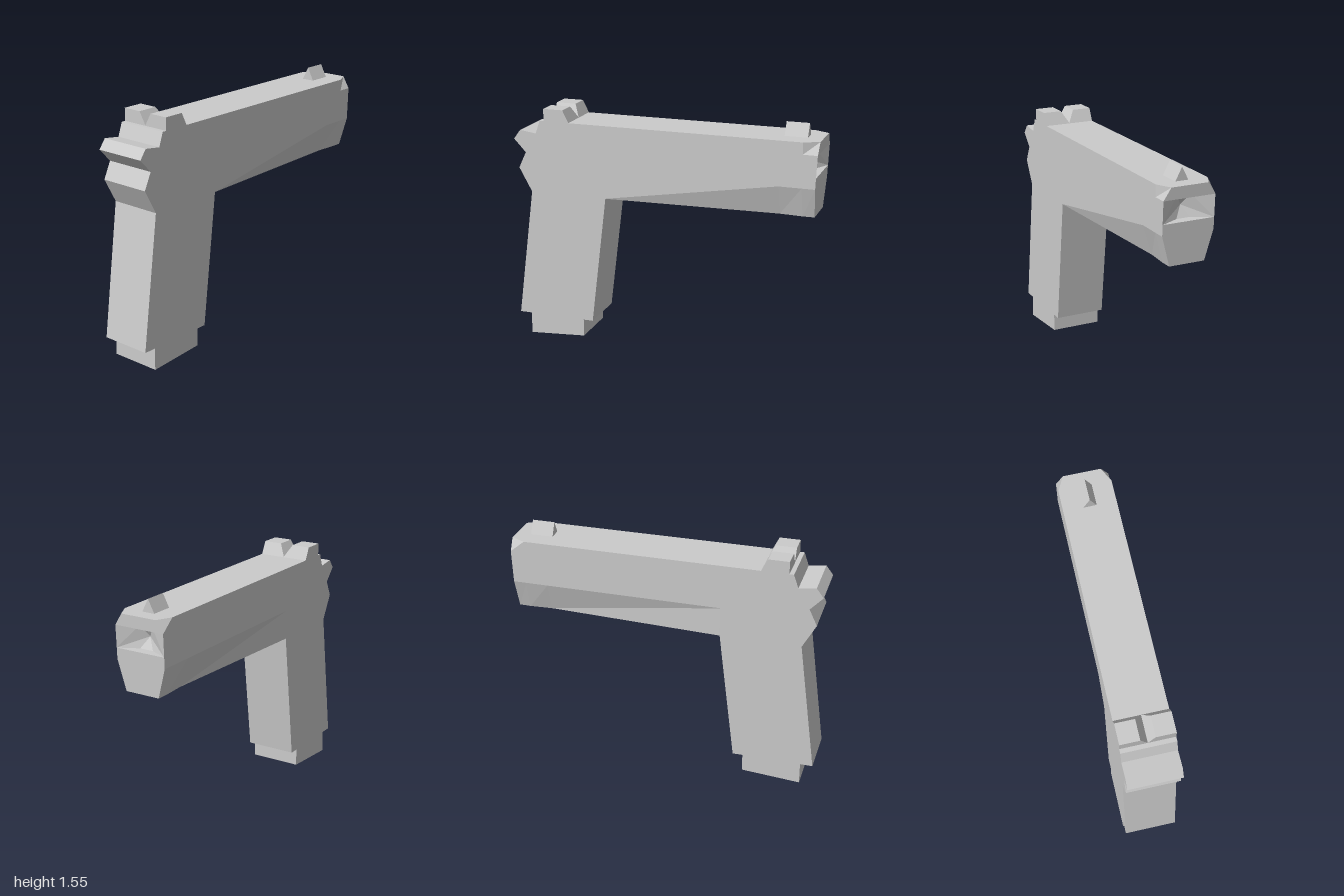
import * as THREE from 'three';

const W = 0.168; // half thickness
const TOP = 1.475;

export function createModel() {
  const group = new THREE.Group();
  const material = new THREE.MeshStandardMaterial({ color: 0xcccccc, flatShading: true });

  const add = (name, geometry) => {
    const mesh = new THREE.Mesh(geometry, material);
    mesh.name = name;
    group.add(mesh);
    return mesh;
  };
  const shapeOf = (pts) => new THREE.Shape(pts.map(([x, y]) => new THREE.Vector2(x, y)));
  // Extrudes a (z, y) section along x between two stations
  const extrudeX = (pts, x0, x1) =>
    new THREE.ExtrudeGeometry(shapeOf(pts), { depth: x1 - x0, bevelEnabled: false })
      .rotateY(Math.PI / 2)
      .translate(x0, 0, 0);

  // Grip and rear frame: one side profile, full thickness
  const frame = shapeOf([
    [-0.37, 1.0], [-0.37, TOP], [-0.815, TOP], [-0.845, 1.39], [-0.955, 1.405],
    [-1, 1.345], [-0.92, 1.26], [-0.97, 1.155], [-0.885, 1.0], [-1, 0.145],
    [-0.92, 0.145], [-0.92, 0.003], [-0.54, 0.03], [-0.54, 0.145], [-0.475, 0.145],
  ]);
  add('gripAndFrame', new THREE.ExtrudeGeometry(frame, { depth: 2 * W, bevelEnabled: false }).translate(0, 0, -W));

  // Long upper body: lofted sections with tapering lower flanks
  add('upperBody', upperBodyGeometry());

  // Rear sight with a V notch and a sloping front
  const rear = extrudeX(
    [[-W, TOP], [W, TOP], [W, 1.555], [0.045, 1.555], [0, 1.478], [-0.045, 1.555], [-W, 1.555]],
    -0.787, -0.655
  );
  const pos = rear.attributes.position;
  for (let i = 0; i < pos.count; i++) {
    if (pos.getX(i) > -0.7) pos.setX(i, -0.655 + 0.5 * (1.555 - pos.getY(i)));
  }
  add('rearSight', rear);

  // Front sight: small triangular prism
  add('frontSight', extrudeX([[-0.042, TOP], [0.042, TOP], [0, 1.557]], 0.76, 0.905));

  return group;
}

function upperBodyGeometry() {
  const out = [];
  // Fan of triangles over a polygon
  const face = (...p) => {
    for (let i = 1; i < p.length - 1; i++) out.push(...p[0], ...p[i], ...p[i + 1]);
  };
  const mirror = ([x, y, z]) => [x, y, -z];
  // Section loop: up the +z side, down the -z side
  const ring = (xAt, bottom, top) => {
    const side = [[bottom, 1.0], [W, 1.19], [W, 1.26], [W, 1.4], [top, TOP]]
      .map(([z, y]) => [xAt(y), y, z]);
    return [...side, ...side.map(mirror).reverse()];
  };
  const rings = [
    ring(() => -0.37, W, W),
    ring(() => 0.76, 0.108, W),
    ring(() => 0.905, 0.117, W),
    ring((y) => 0.98 + 0.042 * (y - 1), 0.115, 0.12),
  ];
  for (let r = 0; r < rings.length - 1; r++) {
    const a = rings[r], b = rings[r + 1];
    for (let i = 0; i < a.length; i++) {
      const j = (i + 1) % a.length;
      face(a[i], b[i], b[j], a[j]);
    }
  }

  // Front end: lower plate, upper plate and a recessed pocket between them
  const p = rings[rings.length - 1];
  face(p[0], p[9], p[8], p[7], p[2], p[1]);
  face(p[3], p[6], p[5], p[4]);
  const A = [0.93, 1.4, 0.045], B = [0.93, 1.26, 0.045], C = [0.89, 1.33, 0];
  const A2 = mirror(A), B2 = mirror(B);
  face(p[2], B, C, A, p[3]);
  face(p[7], p[6], A2, C, B2);
  face(A, C, A2);
  face(B, B2, C);
  face(p[3], A, A2, p[6]);
  face(p[2], p[7], B2, B);

  const geometry = new THREE.BufferGeometry();
  geometry.setAttribute('position', new THREE.Float32BufferAttribute(out, 3));
  geometry.computeVertexNormals();
  return geometry;
}
